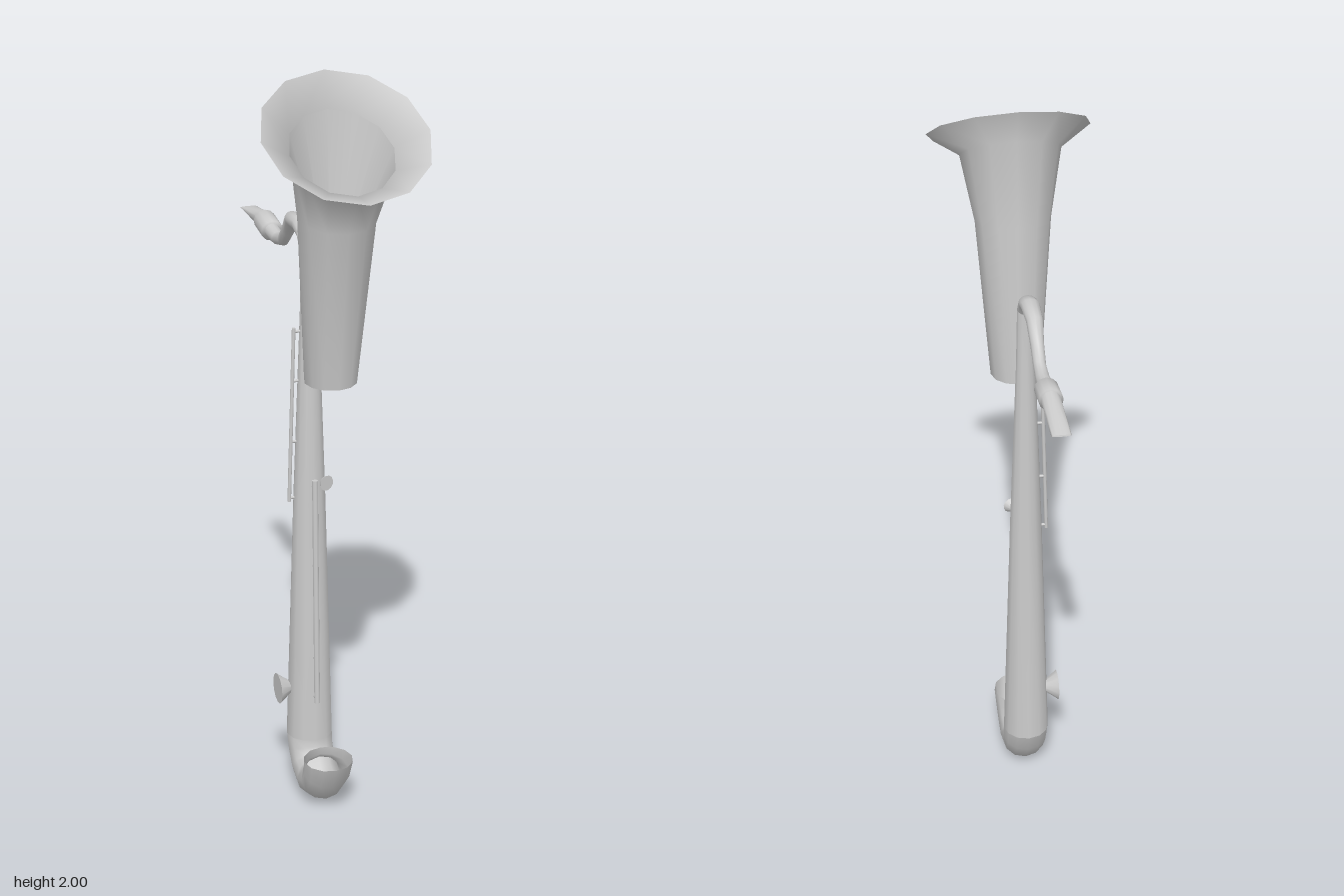
import * as THREE from 'three';

const material = new THREE.MeshStandardMaterial({ color: 0xcccccc, side: THREE.DoubleSide });

// Elliptical loft: each section is [z1, y1, z2, y2, halfWidth], the two opposite points
// of a ring in the middle plane plus its half width along x.
function loft(name, sections, sides = 12) {
  const pos = [], index = [];
  sections.forEach(([z1, y1, z2, y2, w], i) => {
    for (let j = 0; j < sides; j++) {
      const a = (j / sides) * Math.PI * 2, c = Math.cos(a) / 2;
      pos.push(Math.sin(a) * w, (y1 + y2) / 2 + (y1 - y2) * c, (z1 + z2) / 2 + (z1 - z2) * c);
      if (i === 0) continue;
      const k = (j + 1) % sides, p = (i - 1) * sides, q = i * sides;
      index.push(p + j, p + k, q + j, p + k, q + k, q + j);
    }
  });
  const g = new THREE.BufferGeometry();
  g.setAttribute('position', new THREE.Float32BufferAttribute(pos, 3));
  g.setIndex(index);
  g.computeVertexNormals();
  const mesh = new THREE.Mesh(g, material);
  mesh.name = name;
  return mesh;
}

// Straight round bar between two points, optionally tapered
function bar(name, from, to, r1, r2 = r1, sides = 8) {
  const a = new THREE.Vector3(...from), b = new THREE.Vector3(...to);
  const d = b.clone().sub(a);
  const mesh = new THREE.Mesh(new THREE.CylinderGeometry(r2, r1, d.length(), sides), material);
  mesh.position.copy(a).add(b).multiplyScalar(0.5);
  mesh.quaternion.setFromUnitVectors(new THREE.Vector3(0, 1, 0), d.normalize());
  mesh.name = name;
  return mesh;
}

// Key rod carried on short posts that reach into the body
function keyRod(name, from, to, r, postEnd, stops) {
  const group = new THREE.Group();
  group.name = name;
  group.add(bar('rod', from, to, r));
  for (const t of stops) {
    const p = from.map((v, i) => v + (to[i] - v) * t);
    group.add(bar('post', p, [postEnd[0], p[1], postEnd[1]], r * 0.8));
  }
  return group;
}

export function createModel() {
  const model = new THREE.Group();

  // Curved bottom bow, from its open end round to the body
  model.add(loft('bow', [
    [0.15, 0.16, 0.282, 0.16, 0.066],
    [0.147, 0.138, 0.255, 0.093, 0.063],
    [0.14, 0.127, 0.2, 0.03, 0.061],
    [0.13, 0.124, 0.13, 0.005, 0.061],
    [0.118, 0.128, 0.055, 0.035, 0.061],
    [0.111, 0.14, 0.01, 0.1, 0.062],
    [0.11, 0.16, -0.012, 0.16, 0.063],
  ]));

  // Long tapering body
  model.add(loft('body', [
    [0.11, 0.16, -0.012, 0.16, 0.063],
    [0.09, 0.85, 0.005, 0.85, 0.043],
    [0.07, 1.36, 0.022, 1.36, 0.025],
    [0.056, 1.53, 0.022, 1.515, 0.023],
  ]));

  // Bent neck
  model.add(loft('neck', [
    [0.056, 1.53, 0.022, 1.515, 0.023],
    [0.022, 1.572, 0.003, 1.54, 0.024],
    [-0.03, 1.59, -0.025, 1.55, 0.024],
    [-0.105, 1.583, -0.09, 1.547, 0.021],
    [-0.15, 1.535, -0.125, 1.51, 0.017],
    [-0.182, 1.503, -0.17, 1.472, 0.016],
    [-0.225, 1.495, -0.225, 1.46, 0.018],
    [-0.275, 1.505, -0.28, 1.463, 0.021],
  ]));

  // Ferrule with closed ends, and the wedge-shaped mouthpiece
  model.add(loft('ferrule', [
    [-0.275, 1.484, -0.275, 1.484, 0],
    [-0.271, 1.511, -0.281, 1.455, 0.03],
    [-0.343, 1.523, -0.353, 1.467, 0.03],
    [-0.348, 1.495, -0.348, 1.495, 0],
  ]));
  model.add(loft('mouthpiece', [
    [-0.345, 1.519, -0.35, 1.47, 0.024],
    [-0.42, 1.507, -0.42, 1.479, 0.024],
    [-0.497, 1.493, -0.497, 1.488, 0.024],
  ]));

  // Flared bell, and its throat narrowing to a point inside
  const collar = [0.415, 1.755, 0.183, 1.91, 0.13];
  model.add(loft('bell', [
    [0.285, 1.23, 0.15, 1.235, 0.067],
    [0.35, 1.645, 0.165, 1.68, 0.098],
    collar,
    [0.5, 1.755, 0.158, 2.0, 0.209],
  ]));
  model.add(loft('bellThroat', [[0.215, 1.45, 0.215, 1.45, 0], collar]));

  // Front and side key rods
  model.add(keyRod('frontKeyRod', [0, 0.28, 0.118], [0, 0.915, 0.095], 0.008, [0, 0.06],
    [0.02, 0.2, 0.62, 0.97]));
  model.add(keyRod('sideKeyRod', [-0.055, 0.845, 0.047], [-0.042, 1.32, 0.047], 0.005, [0, 0.047],
    [0.02, 0.35, 0.7, 0.98]));

  // Flared key cups
  model.add(bar('lowerKeyCup', [-0.045, 0.3, 0.045], [-0.088, 0.3, 0.045], 0.01, 0.042, 12));
  model.add(bar('upperKeyCup', [0.026, 0.9, 0.06], [0.035, 0.9, 0.086], 0.005, 0.021, 12));

  return model;
}
